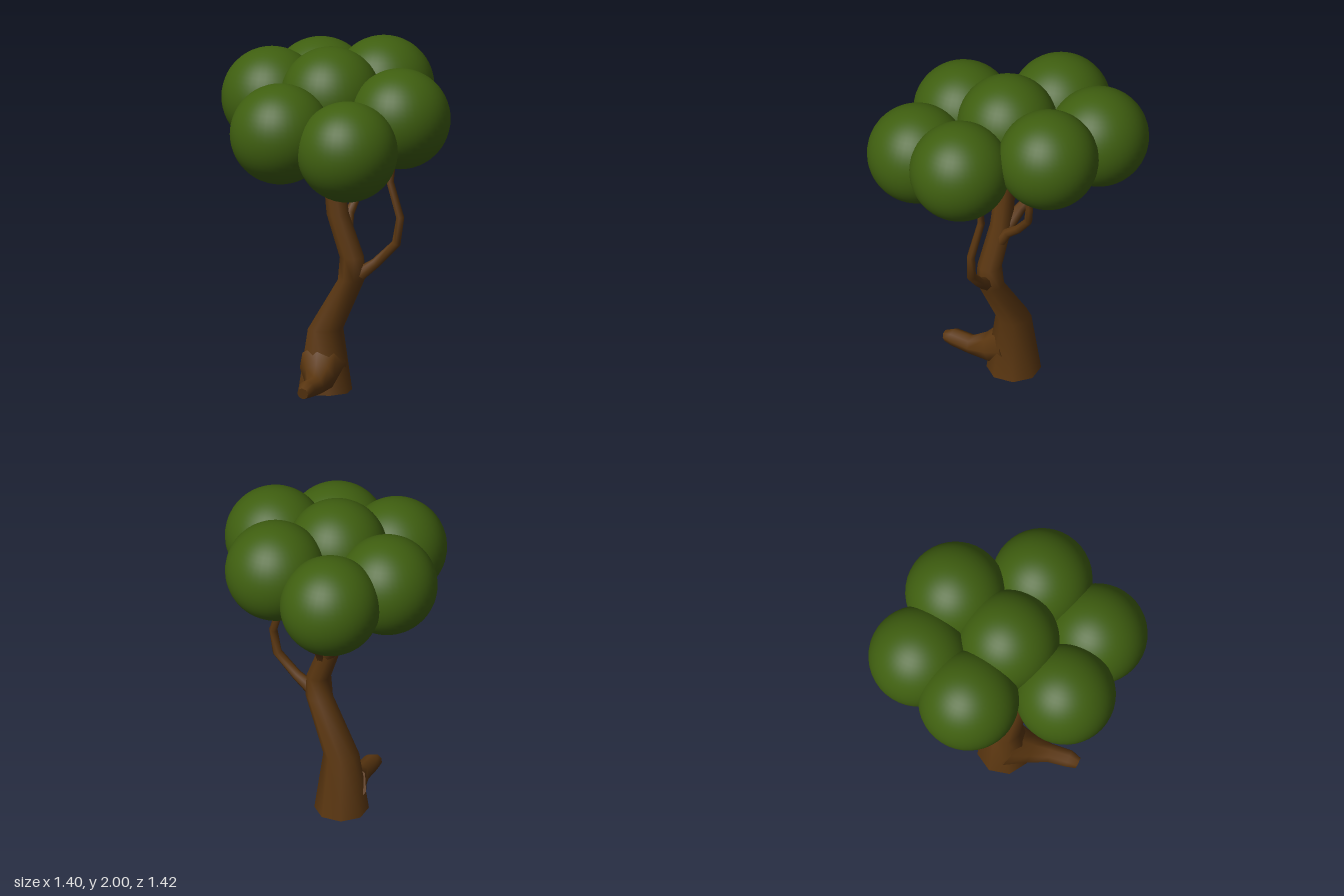
import * as THREE from 'three';

const bark = new THREE.MeshStandardMaterial({ color: 0x5a3610 });
const leaf = new THREE.MeshStandardMaterial({ color: 0x3f5f10 });

// Tapering limb through [x, y, z, radius] stations; level keeps the rings horizontal
function limb(name, stations, sides, ref = new THREE.Vector3(1, 0, 0), level = false) {
  const pts = stations.map(s => new THREE.Vector3(s[0], s[1], s[2]));
  const pos = [], index = [], last = pts.length - 1;
  const rings = pts.map((p, i) => {
    const before = p.clone().sub(pts[Math.max(i - 1, 0)]).normalize();
    const after = pts[Math.min(i + 1, last)].clone().sub(p).normalize();
    const n = level ? new THREE.Vector3(0, 1, 0) : before.add(after).normalize();
    const u = ref.clone().addScaledVector(n, -ref.dot(n)).normalize();
    const v = n.clone().cross(u);
    return Array.from({ length: sides }, (_, k) => {
      const a = (k / sides) * Math.PI * 2;
      const q = p.clone().addScaledVector(u, Math.cos(a) * stations[i][3])
        .addScaledVector(v, Math.sin(a) * stations[i][3]);
      q.y = Math.max(q.y, 0);
      return q;
    });
  });
  rings.forEach(r => r.forEach(q => pos.push(q.x, q.y, q.z)));
  for (let i = 0; i < last; i++) {
    for (let k = 0; k < sides; k++) {
      const a = i * sides + k, b = i * sides + (k + 1) % sides;
      index.push(a, b, a + sides, b, b + sides, a + sides);
    }
  }
  // flat end caps with their own vertices
  [0, last].forEach(i => {
    const start = pos.length / 3;
    rings[i].forEach(q => pos.push(q.x, q.y, q.z));
    for (let k = 1; k < sides - 1; k++) {
      if (i === 0) index.push(start, start + k + 1, start + k);
      else index.push(start, start + k, start + k + 1);
    }
  });
  const g = new THREE.BufferGeometry();
  g.setAttribute('position', new THREE.Float32BufferAttribute(pos, 3));
  g.setIndex(index);
  g.computeVertexNormals();
  const mesh = new THREE.Mesh(g, bark);
  mesh.name = name;
  return mesh;
}

export function createModel() {
  const tree = new THREE.Group();
  tree.name = 'tree';

  // S-shaped trunk
  tree.add(limb('trunk', [
    [0.005, 0, -0.055, 0.155],
    [0.005, 0.36, -0.052, 0.102],
    [0.007, 0.67, 0.128, 0.078],
    [0.005, 0.8, 0.133, 0.07],
    [0, 1.04, 0.037, 0.064],
    [0, 1.43, -0.015, 0.056],
  ], 8, undefined, true));

  // root reaching out to the side
  tree.add(limb('root', [
    [-0.02, 0.15, -0.05, 0.14],
    [-0.13, 0.1, 0.0, 0.09],
    [-0.24, 0.078, 0.045, 0.056],
    [-0.35, 0.085, 0.075, 0.052],
    [-0.405, 0.072, 0.085, 0.034],
  ], 8, new THREE.Vector3(0, 0, 1)));

  // thin branches
  tree.add(limb('frontBranch', [
    [0.01, 0.68, 0.15, 0.045],
    [0.06, 0.77, 0.26, 0.03],
    [0.105, 0.89, 0.37, 0.027],
    [0.12, 1.04, 0.387, 0.024],
    [0.125, 1.24, 0.312, 0.022],
    [0.13, 1.38, 0.33, 0.019],
  ], 7));
  tree.add(limb('sideBranch', [
    [0.02, 0.94, 0.08, 0.04],
    [0.08, 1.03, 0.06, 0.028],
    [0.15, 1.085, 0.045, 0.025],
    [0.23, 1.18, 0.045, 0.024],
    [0.245, 1.28, 0.05, 0.022],
    [0.22, 1.45, 0.055, 0.02],
  ], 7));
  tree.add(limb('backBranch', [
    [0.02, 1.0, 0.04, 0.045],
    [0.055, 1.13, -0.06, 0.034],
    [0.075, 1.2, -0.14, 0.024],
    [0.09, 1.275, -0.21, 0.022],
    [0.075, 1.42, -0.205, 0.019],
  ], 7));

  // round clumps of leaves
  const foliage = new THREE.Group();
  foliage.name = 'foliage';
  const ball = new THREE.SphereGeometry(0.287, 40, 28);
  [
    [0, 1.713, -0.012],
    [0.413, 1.713, 0.06],
    [0.383, 1.655, -0.36],
    [0.0, 1.66, -0.425],
    [-0.418, 1.568, -0.062],
    [-0.352, 1.507, 0.36],
    [0.068, 1.632, 0.425],
  ].forEach(([x, y, z], i) => {
    const clump = new THREE.Mesh(ball, leaf);
    clump.name = 'leafClump' + (i + 1);
    clump.position.set(x, y, z);
    foliage.add(clump);
  });
  tree.add(foliage);
  return tree;
}
